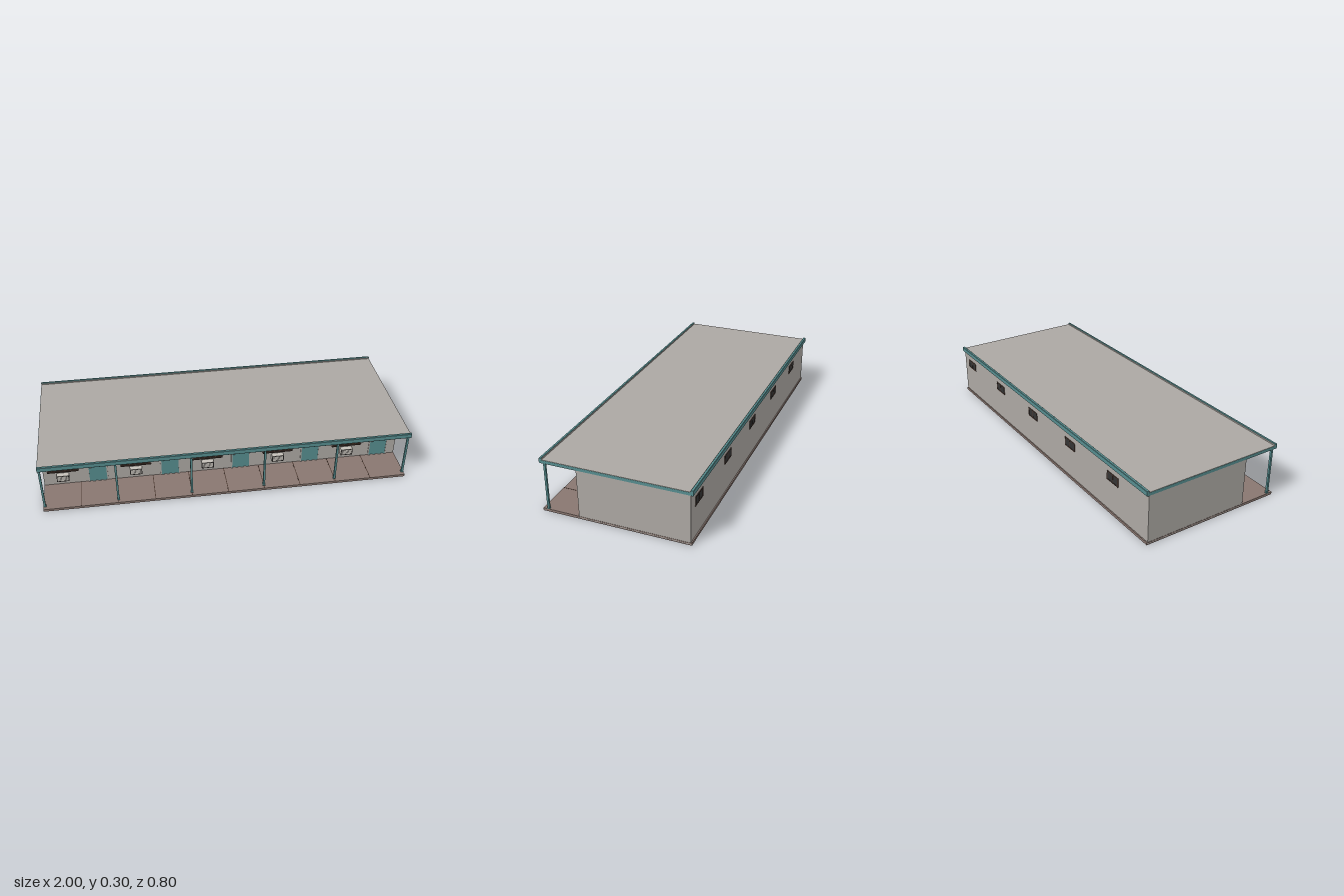
import * as THREE from 'three';

const mat = (name, color, side = THREE.FrontSide) => {
  const m = new THREE.MeshStandardMaterial({ color, side });
  m.name = name;
  return m;
};

export function createModel() {
  const plaster = mat('plaster', 0xaca8a3);
  const teal = mat('teal paint', 0x568c8e);
  const paving = mat('paving', 0x897770);
  const wood = mat('dark wood', 0x4a3830);
  const curtainCloth = mat('curtain', 0x86592c);
  const glass = mat('dark glass', 0x343434);
  const pale = mat('pale metal', 0xc4c0b8);
  const metal = mat('dark metal', 0x3c3938);

  const model = new THREE.Group();
  model.name = 'motel';

  // Box given by its limits on each axis
  const box = (parent, name, m, [x0, x1], [y0, y1], [z0, z1]) => {
    const mesh = new THREE.Mesh(new THREE.BoxGeometry(x1 - x0, y1 - y0, z1 - z0), m);
    mesh.position.set((x0 + x1) / 2, (y0 + y1) / 2, (z0 + z1) / 2);
    mesh.name = name;
    parent.add(mesh);
    return mesh;
  };

  // Rectangular ring extruded forward from z
  const frame = (parent, name, m, [x0, x1], [y0, y1], t, z, depth) => {
    const rect = (P, a, b, c, d) => new P([[a, c], [b, c], [b, d], [a, d]].map(p => new THREE.Vector2(...p)));
    const shape = rect(THREE.Shape, x0, x1, y0, y1);
    shape.holes.push(rect(THREE.Path, x0 + t, x1 - t, y0 + t, y1 - t));
    const mesh = new THREE.Mesh(new THREE.ExtrudeGeometry(shape, { depth, bevelEnabled: false }), m);
    mesh.position.z = z;
    mesh.name = name;
    parent.add(mesh);
  };

  // Slab, walls and roof
  box(model, 'floorSlab', paving, [-1, 1], [0, 0.014], [-0.392, 0.4]);
  box(model, 'walls', plaster, [-0.999, 0.999], [0.012, 0.274], [-0.386, 0.2]);
  box(model, 'wallFooting', plaster, [-1.0005, 1.0005], [0.006, 0.009], [-0.39, 0.2]);
  box(model, 'roofSlab', teal, [-1, 1], [0.273, 0.289], [-0.388, 0.388]);
  box(model, 'roofCover', plaster, [-0.999, 0.999], [0.289, 0.291], [-0.386, 0.386]);
  box(model, 'soffit', plaster, [-0.998, 0.998], [0.271, 0.273], [0.2, 0.385]);

  // Raised fascias with softened corners, grey on the roof side
  for (const s of [-1, 1]) {
    const p = [[0.386, 0.272], [0.397, 0.272], [0.4, 0.275], [0.4, 0.298], [0.398, 0.3], [0.388, 0.3], [0.386, 0.298]];
    const shape = new THREE.Shape(p.map(([z, y]) => new THREE.Vector2(-z * s, y)));
    const geo = new THREE.ExtrudeGeometry(shape, { depth: 2, bevelEnabled: false });
    geo.rotateY(Math.PI / 2).translate(-1, 0, 0);
    const fascia = new THREE.Mesh(geo, teal);
    fascia.name = s > 0 ? 'frontFascia' : 'backFascia';
    model.add(fascia);
    const z = s * 0.3855;
    box(model, 'parapetLining', plaster, [-0.999, 0.999], [0.289, 0.298], [z - 0.0006, z + 0.0006]);
  }

  // Veranda posts on small feet
  for (let i = 0; i <= 5; i++) {
    const x = Math.max(-0.993, Math.min(0.993, -1 + i * 0.4));
    box(model, 'post', teal, [x - 0.0055, x + 0.0055], [0.014, 0.273], [0.367, 0.378]);
    box(model, 'postFoot', teal, [x - 0.007, x + 0.007], [0.014, 0.018], [0.365, 0.38]);
  }

  // Paving joints
  for (let i = 1; i < 10; i++) {
    const x = -1 + i * 0.2;
    box(model, 'pavingJoint', wood, [x - 0.002, x + 0.002], [0.0135, 0.0146], [0.2, 0.399]);
  }

  // Five identical rooms, each 0.4 wide; curtains are drawn differently
  const curtainWidths = [[0.034, 0.032], [0.03, 0.036], [0.028, 0.034], [0.04, 0.036], [0.036, 0.04]];
  curtainWidths.forEach(([leftW, rightW], i) => {
    const room = new THREE.Group();
    room.name = 'room' + (i + 1);
    room.position.x = -1 + i * 0.4;
    model.add(room);

    // Front window
    box(room, 'windowGlass', glass, [0.034, 0.184], [0.108, 0.232], [0.199, 0.2012]);
    frame(room, 'windowFrame', wood, [0.03, 0.188], [0.104, 0.236], 0.006, 0.2, 0.004);
    box(room, 'windowSill', wood, [0.024, 0.194], [0.1, 0.107], [0.2, 0.209]);
    for (const [a, w] of [[0.036, leftW], [0.182 - rightW, rightW]]) {
      box(room, 'curtain', curtainCloth, [a, a + w], [0.11, 0.23], [0.2, 0.202]);
      for (let k = 1; k < 4; k++) {
        const x = a + w * k / 4;
        box(room, 'curtainFold', wood, [x - 0.0012, x + 0.0012], [0.11, 0.23], [0.2, 0.2024]);
      }
    }
    box(room, 'windowMullion', metal, [0.107, 0.111], [0.11, 0.23], [0.2, 0.2032]);

    // Air conditioner under the window
    box(room, 'airConditioner', pale, [0.074, 0.141], [0.052, 0.09], [0.2, 0.228]);
    frame(room, 'airConditionerRim', metal, [0.074, 0.141], [0.052, 0.09], 0.004, 0.228, 0.001);
    for (let k = 0; k < 3; k++) {
      const y = 0.063 + k * 0.007;
      box(room, 'airConditionerSlat', plaster, [0.081, 0.134], [y, y + 0.003], [0.228, 0.2288]);
    }

    // Wall lamp
    box(room, 'lampBracket', metal, [0.213, 0.219], [0.178, 0.206], [0.2, 0.207]);
    const lamp = new THREE.Mesh(new THREE.CylinderGeometry(0.006, 0.004, 0.02, 6), metal);
    lamp.position.set(0.216, 0.192, 0.21);
    lamp.name = 'lampGlass';
    const cap = new THREE.Mesh(new THREE.ConeGeometry(0.01, 0.008, 6), metal);
    cap.position.set(0.216, 0.206, 0.21);
    cap.name = 'lampCap';
    room.add(lamp, cap);

    // Door with frame, number plate and knob
    box(room, 'door', teal, [0.25, 0.346], [0.015, 0.228], [0.199, 0.202]);
    frame(room, 'doorFrame', plaster, [0.244, 0.352], [0.01, 0.234], 0.006, 0.199, 0.005);
    box(room, 'doorPlate', pale, [0.288, 0.31], [0.164, 0.174], [0.202, 0.2028]);
    const knob = new THREE.Mesh(new THREE.SphereGeometry(0.004, 10, 8), pale);
    knob.position.set(0.26, 0.112, 0.205);
    knob.name = 'doorKnob';
    room.add(knob);

    // Small back window
    box(room, 'backGlass', glass, [0.25, 0.342], [0.184, 0.23], [-0.3872, -0.385]);
    frame(room, 'backWindowFrame', wood, [0.248, 0.344], [0.182, 0.232], 0.005, -0.389, 0.004);
    box(room, 'backMullion', wood, [0.294, 0.298], [0.184, 0.23], [-0.3885, -0.385]);
  });

  return model;
}
